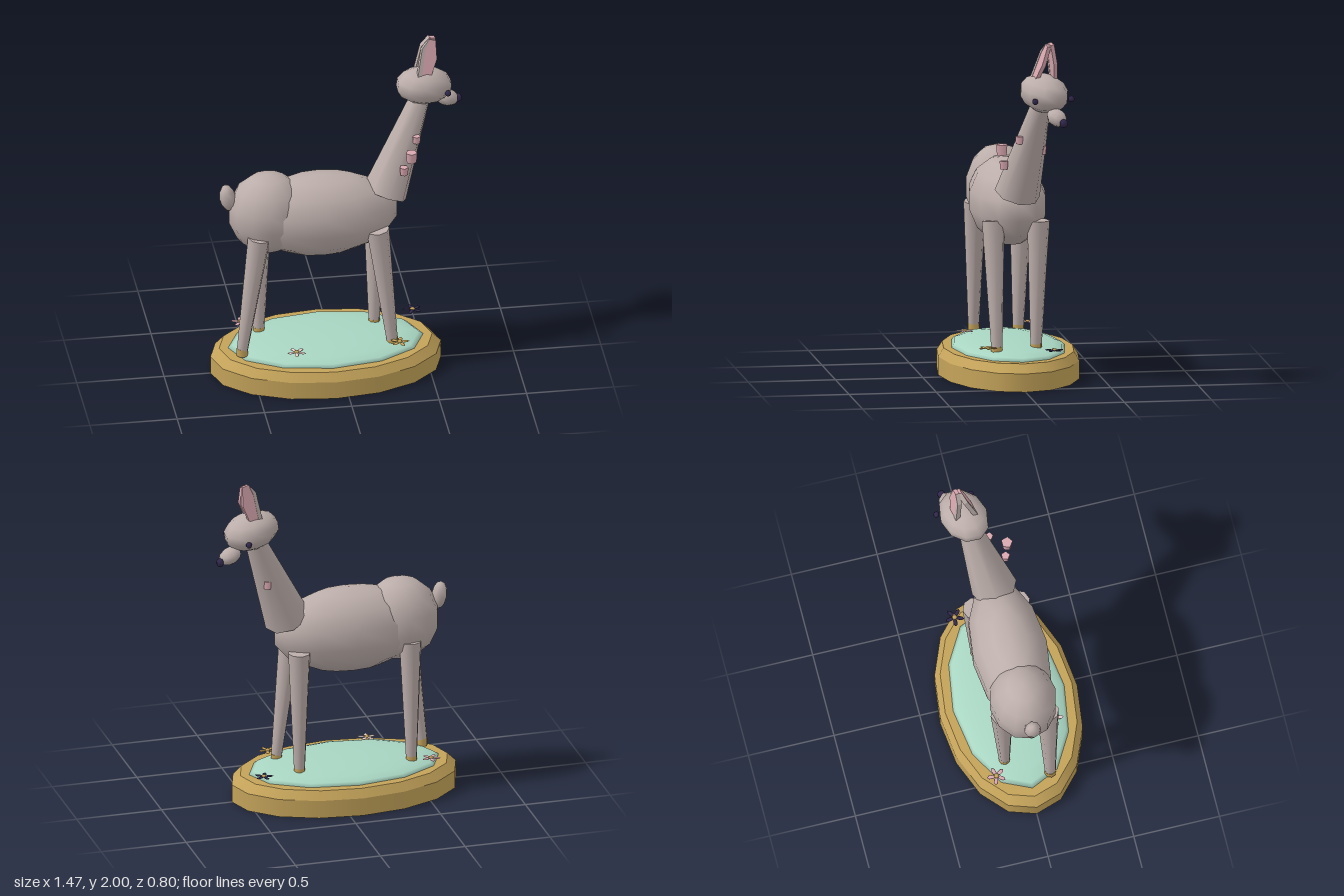
import * as THREE from 'three';

const mat = (name, color, side = THREE.FrontSide) => {
  const m = new THREE.MeshStandardMaterial({ color, side });
  m.name = name;
  return m;
};

export function createModel() {
  const root = new THREE.Group();
  root.name = 'deerFigurine';
  const fur = mat('warmGrey', 0xbcaeaa);
  const gold = mat('gold', 0xc4a35a);
  const green = mat('mint', 0xa8d5c2);
  const pink = mat('rosePink', 0xd9a8b0);
  const pale = mat('palePink', 0xe6cfca);
  const dark = mat('darkViolet', 0x30284c);

  const add = (name, geo, material, pos = [0, 0, 0], parent = root) => {
    const m = new THREE.Mesh(geo, material);
    m.name = name;
    m.position.set(...pos);
    parent.add(m);
    return m;
  };
  const ball = (name, material, pos, size, ws = 12, hs = 7, parent = root) => {
    const m = add(name, new THREE.SphereGeometry(1, ws, hs), material, pos, parent);
    m.scale.set(...size);
    return m;
  };
  // Tapered round bar between two points
  const limb = (name, a, b, ra, rb, material, sides = 8) => {
    const A = new THREE.Vector3(...a), B = new THREE.Vector3(...b);
    const d = B.clone().sub(A);
    const m = add(name, new THREE.CylinderGeometry(rb, ra, d.length(), sides), material);
    m.position.copy(A).add(B).multiplyScalar(0.5);
    m.quaternion.setFromUnitVectors(new THREE.Vector3(0, 1, 0), d.normalize());
    return m;
  };

  // Oval base with bevelled rim and a shallow mound
  const base = new THREE.Group();
  base.name = 'base';
  base.position.x = -0.075;
  root.add(base);
  add('plinth', new THREE.CylinderGeometry(0.66, 0.66, 0.105, 16), gold, [0, 0.0525, 0], base).scale.z = 0.606;
  add('bevel', new THREE.CylinderGeometry(0.61, 0.66, 0.05, 16), gold, [0, 0.13, 0], base).scale.z = 0.606;
  const mound = add('mound', new THREE.SphereGeometry(1, 12, 5, 0, Math.PI * 2, 0, Math.PI / 2), green, [0, 0.154, 0], base);
  mound.scale.set(0.56, 0.061, 0.325);

  // Body
  ball('body', fur, [-0.105, 0.99, 0], [0.45, 0.25, 0.22], 12, 7);
  ball('rump', fur, [-0.405, 1.02, 0], [0.23, 0.245, 0.195], 12, 7);
  ball('tail', fur, [-0.637, 1.13, 0], [0.046, 0.082, 0.05], 8, 6).rotation.z = 0.15;
  limb('neck', [0.262, 1.09, 0], [0.475, 1.62, -0.1], 0.132, 0.06, fur);

  // Legs with gold hooves: top and bottom of each
  const legs = [
    ['hindLeftLeg', [-0.475, 0.925, 0.128], [-0.57, 0.2, 0.12]],
    ['frontLeftLeg', [0.205, 0.925, 0.128], [0.288, 0.2, 0.12]],
    ['hindRightLeg', [-0.43, 0.925, -0.128], [-0.44, 0.2, -0.115]],
    ['frontRightLeg', [0.225, 0.925, -0.128], [0.22, 0.2, -0.115]],
  ];
  for (const [name, top, foot] of legs) {
    limb(name, foot, top, 0.032, 0.065, fur);
    add(name + 'Hoof', new THREE.CylinderGeometry(0.033, 0.033, 0.046, 8), gold, [foot[0], 0.193, foot[2]]);
  }

  // Head, turned toward its far side
  const head = ball('head', fur, [0.505, 1.703, -0.117], [0.173, 0.106, 0.132], 10, 7);
  head.rotation.set(0, 0.35, -0.16);
  const muzzle = ball('muzzle', fur, [0.645, 1.583, -0.168], [0.072, 0.047, 0.055], 8, 6);
  muzzle.rotation.set(0, 0.35, -0.35);
  ball('nose', dark, [0.712, 1.56, -0.197], [0.023, 0.025, 0.025], 7, 5);
  ball('leftEye', dark, [0.633, 1.675, -0.046], [0.018, 0.018, 0.018], 7, 5);
  ball('rightEye', dark, [0.56, 1.675, -0.264], [0.018, 0.018, 0.018], 7, 5);

  // Leaf-shaped ears: grey back strip with a broad pink leaf
  const plate = (pts, depth) => {
    const g = new THREE.ExtrudeGeometry(new THREE.Shape(pts.map(p => new THREE.Vector2(...p))), { depth, bevelEnabled: false });
    return g.translate(0, 0, -depth / 2);
  };
  const leaf = plate([[-0.03, -0.03], [0.04, -0.01], [0.076, 0.08], [0.074, 0.19], [0.035, 0.2], [-0.005, 0.14]], 0.022);
  const strip = plate([[-0.045, -0.02], [-0.02, -0.02], [0.008, 0.14], [0.038, 0.203], [-0.01, 0.15]], 0.026);
  for (const [name, z, tilt] of [['leftEar', -0.068, -0.29], ['rightEar', -0.17, 0.16]]) {
    const ear = new THREE.Group();
    ear.name = name;
    ear.position.set(0.5, 1.798, z);
    ear.rotation.set(tilt, 0.2, 0);
    root.add(ear);
    add('earLeaf', leaf, pink, [0, 0, 0], ear);
    add('earBack', strip, fur, [0, 0, 0], ear);
  }

  // Rosebuds around the neck
  const buds = [[0.4, 1.365, 0.108, 0.034], [0.36, 1.27, 0.09, 0.026], [0.443, 1.425, 0.015, 0.024], [0.41, 1.36, -0.122, 0.026]];
  for (const [x, y, z, r] of buds)
    add('rosebud', new THREE.CylinderGeometry(r, r * 0.85, r * 1.8, 5), pink, [x, y, z]);

  // Five-petalled flowers over the mound
  const flowers = [[-0.535, -0.185, pink], [-0.272, 0.215, pale], [0.322, 0.18, gold], [0.45, -0.185, dark]];
  flowers.forEach(([x, z, petalMat], k) => {
    const f = new THREE.Group();
    f.name = 'flower';
    f.position.set(x, 0.215, z);
    f.rotation.y = k * 0.5 + 0.3;
    root.add(f);
    for (let i = 0; i < 5; i++) {
      const a = (i / 5) * Math.PI * 2;
      const p = ball('petal', petalMat, [Math.cos(a) * 0.031, 0, -Math.sin(a) * 0.031], [0.025, 0.004, 0.013], 6, 4, f);
      p.rotation.y = a;
    }
    ball('flowerCentre', gold, [0, 0.002, 0], [0.015, 0.009, 0.015], 7, 5, f);
  });
  return root;
}
